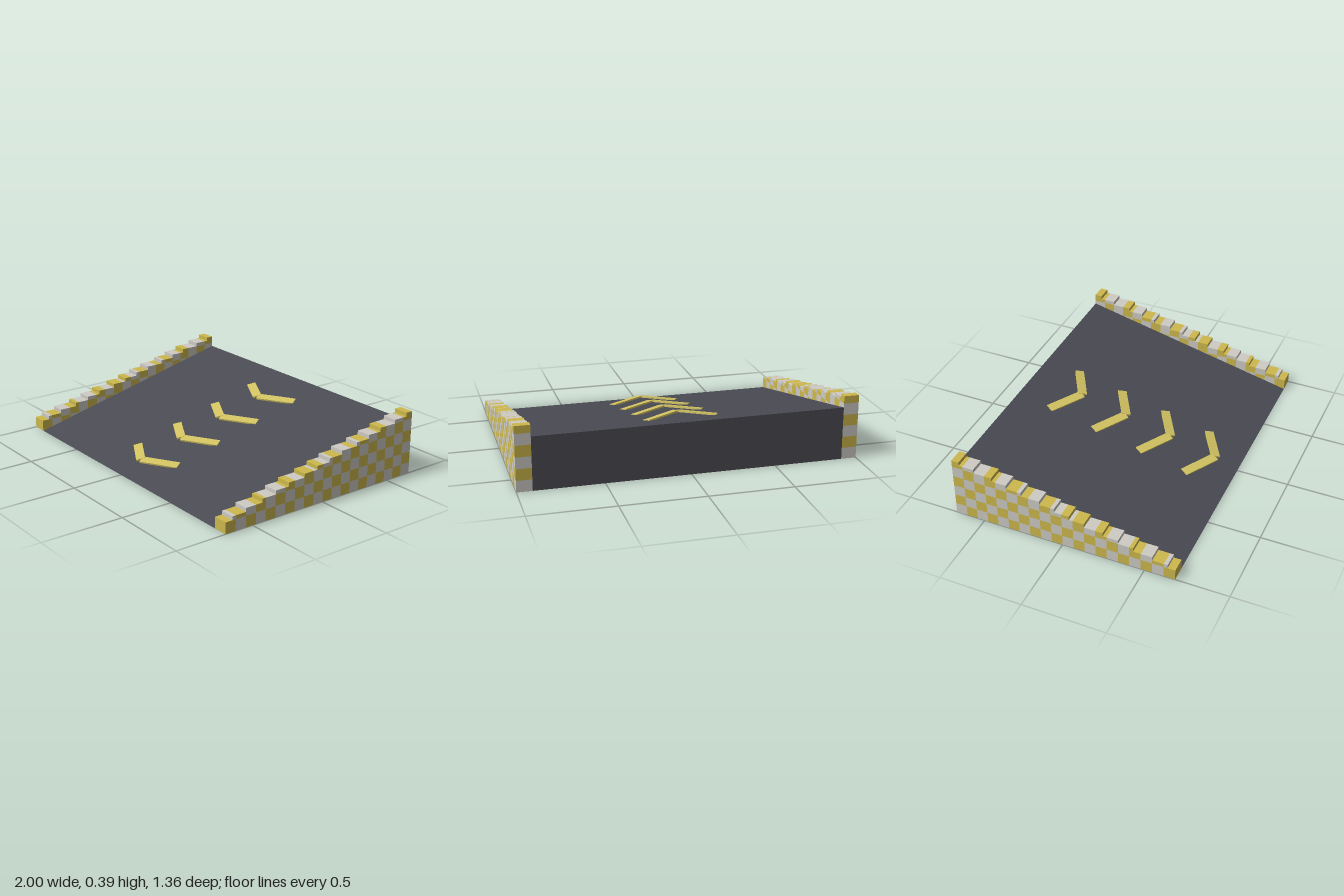
import * as THREE from 'three';

const U = 2 / 88;            // one grid unit
const LEN = 60, HALF = 44, CURB = 4, CELL = 3;
const RISE = 14;             // ramp height at the back, in units
const STEPS = [2, 4, 5, 4, 4, 5, 4, 4, 4, 5, 4, 4, 5, 4, 2]; // step lengths, front to back

const mat = (name, color) => {
  const m = new THREE.MeshStandardMaterial({ color });
  m.name = name;
  return m;
};

// One stepped curb, split into quads by checker colour; returns [even, odd] geometries.
function curbGeometries(x0, x1) {
  const pos = [[], []];
  const quad = (k, a, b, c, d) => {
    for (const p of [a, b, c, a, c, d]) pos[k].push(p[0] * U, p[1] * U, (LEN / 2 - p[2]) * U);
  };
  const colour = (i, y) => (Math.floor(i / CELL) + Math.floor(y / CELL)) % 2;
  // split a vertical span at the checker rows
  const rows = (y0, y1, fn) => {
    for (let y = y0; y < y1;) {
      const top = Math.min(y1, (Math.floor(y / CELL) + 1) * CELL);
      fn(y, top);
      y = top;
    }
  };
  const heights = STEPS.flatMap((n, s) => Array(n).fill(s + 3));
  heights.forEach((h, i) => {
    const j = i + 1;
    // outer and inner sides
    rows(0, h, (a, b) => {
      const k = colour(i, a);
      quad(k, [x1, a, i], [x1, a, j], [x1, b, j], [x1, b, i]);
      quad(k, [x0, a, j], [x0, a, i], [x0, b, i], [x0, b, j]);
    });
    // tread and underside
    quad(colour(i, h - 1), [x0, h, i], [x1, h, i], [x1, h, j], [x0, h, j]);
    quad(colour(i, 0), [x0, 0, j], [x1, 0, j], [x1, 0, i], [x0, 0, i]);
    // riser
    rows(i ? heights[i - 1] : 0, h, (a, b) =>
      quad(colour(i, a), [x0, a, i], [x1, a, i], [x1, b, i], [x0, b, i]));
  });
  // back end
  rows(0, heights[LEN - 1], (a, b) =>
    quad(colour(LEN - 1, a), [x1, a, LEN], [x0, a, LEN], [x0, b, LEN], [x1, b, LEN]));
  return pos.map((p) => {
    const g = new THREE.BufferGeometry();
    g.setAttribute('position', new THREE.Float32BufferAttribute(p, 3));
    g.computeVertexNormals();
    return g;
  });
}

export function createModel() {
  const model = new THREE.Group();
  model.name = 'ramp';
  const asphalt = mat('asphalt', 0x4b4b54);
  const yellow = mat('curbYellow', 0xcdb84c);
  const grey = mat('curbLightGrey', 0xcecbc4);
  const paint = mat('arrowYellow', 0xd4c462);

  const add = (parent, name, geometry, material) => {
    const m = new THREE.Mesh(geometry, material);
    m.name = name;
    parent.add(m);
    return m;
  };

  // Wedge-shaped deck between the curbs
  const half = (LEN / 2) * U, w = (HALF - CURB) * U;
  const profile = new THREE.Shape([
    new THREE.Vector2(-half, 0), new THREE.Vector2(half, 0), new THREE.Vector2(half, RISE * U),
  ]);
  const wedge = new THREE.ExtrudeGeometry(profile, { depth: 2 * w, bevelEnabled: false });
  wedge.translate(0, 0, -w).rotateY(Math.PI / 2);
  add(model, 'deck', wedge, asphalt);

  // Checkered stepped curbs
  for (const [name, x0, x1] of [['rightCurb', -HALF, CURB - HALF], ['leftCurb', HALF - CURB, HALF]]) {
    const curb = new THREE.Group();
    curb.name = name;
    const [even, odd] = curbGeometries(x0, x1);
    add(curb, 'yellowChecks', even, yellow);
    add(curb, 'greyChecks', odd, grey);
    model.add(curb);
  }

  // Chevrons along the middle, each of two tilted bars
  const slope = RISE / LEN;
  const bar = new THREE.BoxGeometry(0.242, 0.01, 0.055);
  for (const zu of [-18, -5, 8, 21]) {
    const z = zu * U;
    const chevron = new THREE.Group();
    chevron.name = 'chevron';
    chevron.position.set(0, (half - z) * slope + 0.0135, z);
    for (const side of [-1, 1]) {
      const b = add(chevron, side < 0 ? 'rightBar' : 'leftBar', bar, paint);
      b.position.x = side * 0.107;
      b.rotation.set(Math.atan(slope), side * Math.PI / 6, 0, 'YXZ');
    }
    model.add(chevron);
  }
  return model;
}
